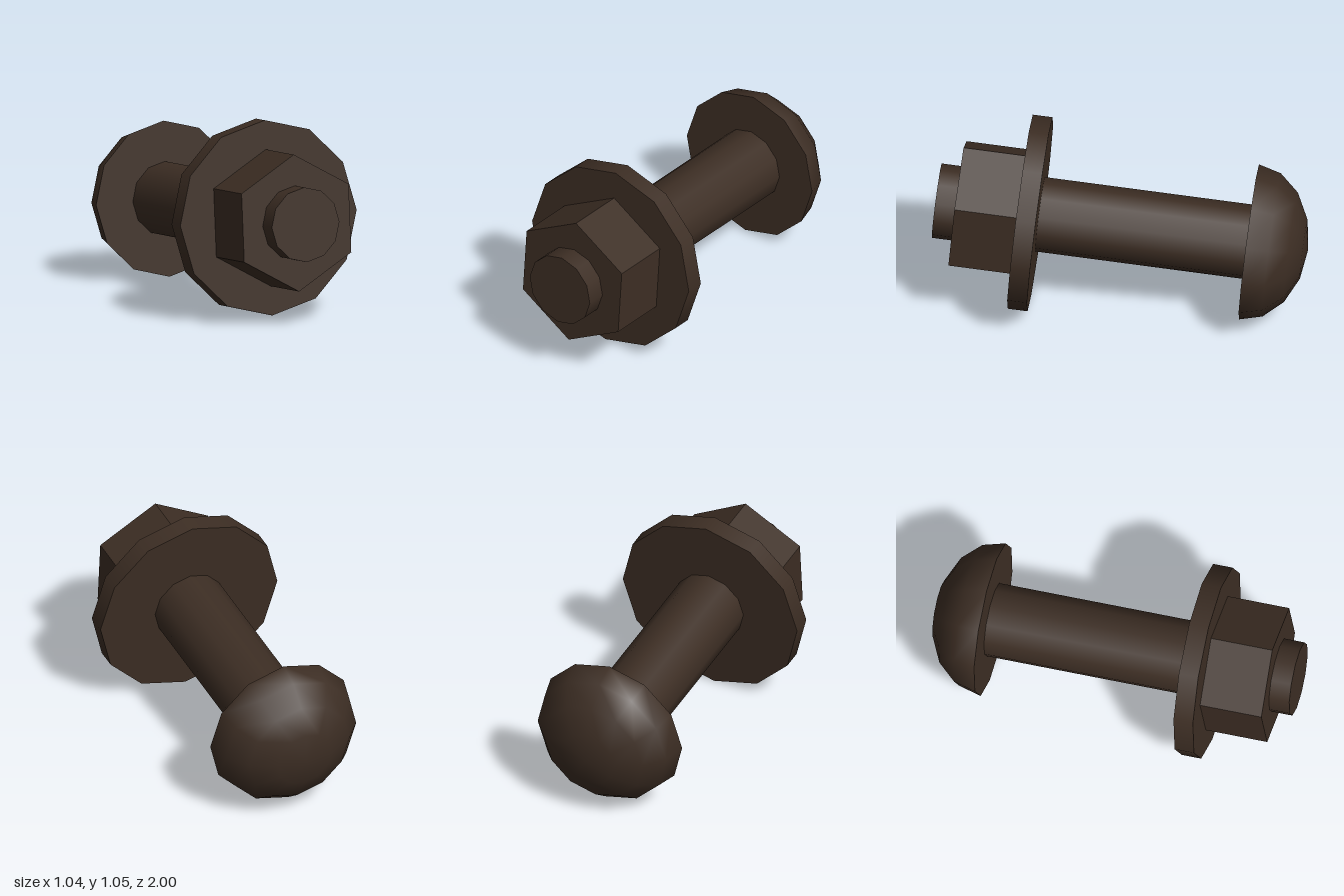
import * as THREE from 'three';

export function createModel() {
  const group = new THREE.Group();
  group.name = 'boltAssembly';
  const iron = new THREE.MeshStandardMaterial({ color: 0x3d2e24 });
  iron.name = 'dark brown iron';

  // Everything is built along local z, then the whole bolt tilts nose-up
  const bolt = new THREE.Group();
  bolt.name = 'bolt';
  bolt.position.y = 0.482;
  bolt.rotation.x = -THREE.MathUtils.degToRad(5);
  group.add(bolt);

  const add = (name, geometry) => {
    const mesh = new THREE.Mesh(geometry, iron);
    mesh.name = name;
    bolt.add(mesh);
  };

  // Prism lying along z from back to front
  const prism = (radius, sides, back, front) =>
    new THREE.CylinderGeometry(radius, radius, front - back, sides)
      .rotateX(Math.PI / 2)
      .translate(0, 0, (back + front) / 2);

  const headZ = -0.686;
  const headRadius = 0.417;

  add('shaft', prism(0.2, 12, headZ - 0.05, 0.987));
  add('washer', prism(0.522, 12, 0.434, 0.54));

  // Hexagonal nut with hard edges
  const nut = prism(0.366, 6, 0.54, 0.876).toNonIndexed();
  nut.computeVertexNormals();
  add('nut', nut);

  // Domed head, flattened along the axis
  add('headDome', new THREE.SphereGeometry(headRadius, 12, 4, 0, Math.PI * 2, 0, Math.PI / 2)
    .scale(1, 0.76, 1)
    .rotateX(-Math.PI / 2)
    .translate(0, 0, headZ));
  add('headUnderside', new THREE.CircleGeometry(headRadius, 12).translate(0, 0, headZ));

  return group;
}
